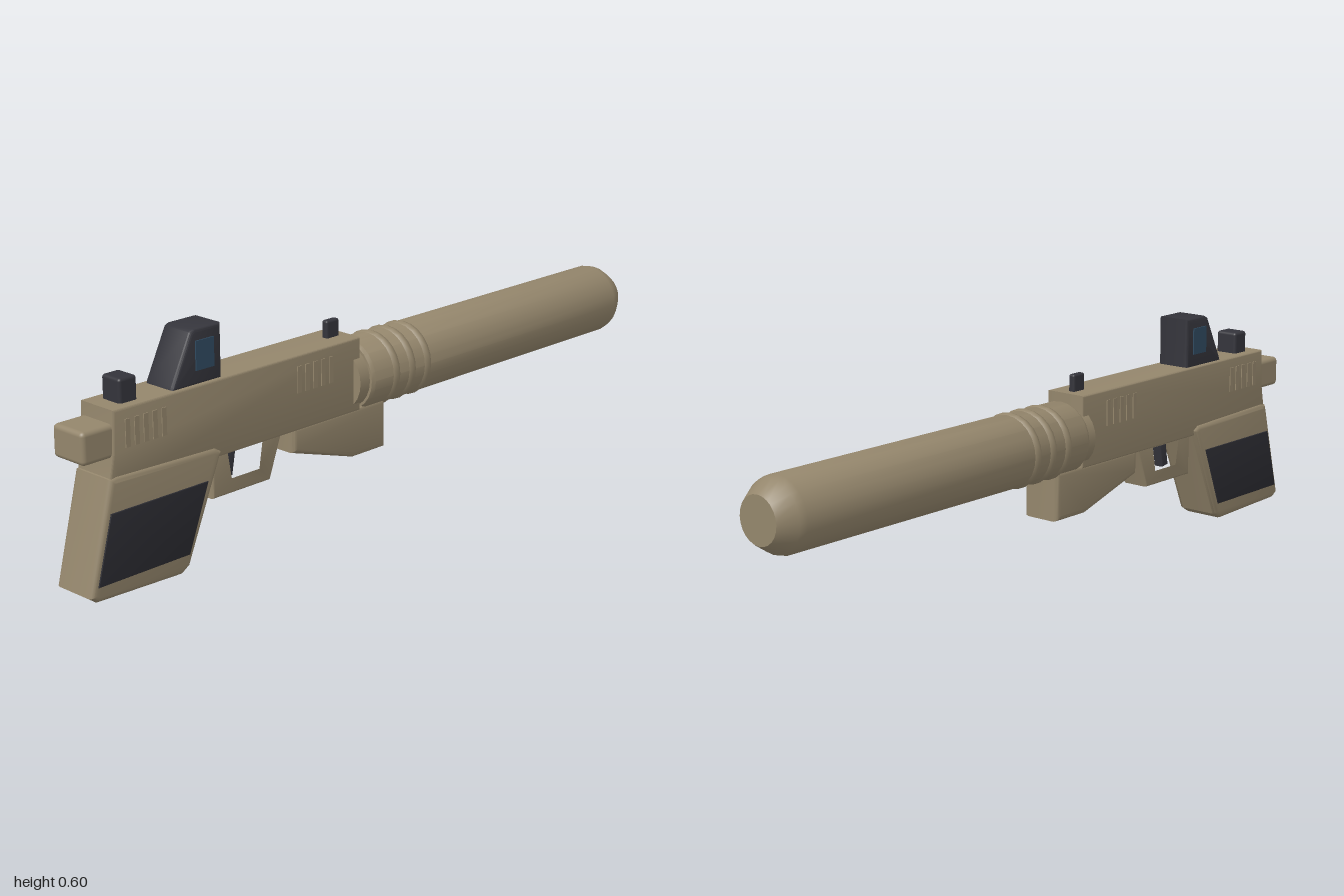
import * as THREE from 'three';
import { toCreasedNormals } from 'three/addons/utils/BufferGeometryUtils.js';
import { RoundedBoxGeometry } from 'three/addons/geometries/RoundedBoxGeometry.js';

const tan = new THREE.MeshStandardMaterial({ name: 'tan', color: 0x94866c });
const dark = new THREE.MeshStandardMaterial({ name: 'dark grey', color: 0x34343b });
const rubber = new THREE.MeshStandardMaterial({ name: 'grip black', color: 0x2b2b31 });
const glass = new THREE.MeshStandardMaterial({ name: 'blue glass', color: 0x2f4a60 });

// Side outline of [z, y] points, extruded across x and centred on x = 0
function profile(points, width, bevel, hole) {
  const toVectors = (list) => list.map(([z, y]) => new THREE.Vector2(z, y));
  const shape = new THREE.Shape(toVectors(points));
  if (hole) shape.holes.push(new THREE.Path(toVectors(hole)));
  const depth = width - 2 * bevel;
  const geometry = new THREE.ExtrudeGeometry(shape, {
    depth, bevelEnabled: bevel > 0, bevelSize: bevel, bevelThickness: bevel,
    bevelOffset: -bevel, bevelSegments: 3,
  });
  geometry.translate(0, 0, -depth / 2);
  geometry.rotateY(-Math.PI / 2);
  return toCreasedNormals(geometry, 0.6);
}

export function createModel() {
  const group = new THREE.Group();
  group.name = 'pistol';

  const add = (name, geometry, material, x = 0, y = 0, z = 0) => {
    const mesh = new THREE.Mesh(geometry, material);
    mesh.name = name;
    mesh.position.set(x, y, z);
    group.add(mesh);
    return mesh;
  };
  // Rounded box given by its width and its y and z ranges
  const block = (name, material, width, y0, y1, z0, z1, radius) =>
    add(name, new RoundedBoxGeometry(width, y1 - y0, z1 - z0, 3, radius), material,
      0, (y0 + y1) / 2, (z0 + z1) / 2);

  // Slide and frame
  add('slide', profile([[0.91, 0.467], [0.915, 0.36], [0.93, 0.28], [0.9, 0.27],
    [0.09, 0.27], [0.09, 0.467]], 0.12, 0.005), tan);
  block('hammer', tan, 0.11, 0.35, 0.433, 0.88, 1.0, 0.012);
  add('frontBlock', profile([[0.33, 0.28], [0.33, 0.21], [0.11, 0.143],
    [-0.01, 0.143], [-0.01, 0.28]], 0.115, 0.014), tan);

  // Raised serrations at both ends of the slide
  for (const start of [0.87, 0.31]) {
    for (let i = 0; i < 5; i++) {
      add('serration', new THREE.BoxGeometry(0.125, 0.07, 0.014), tan, 0, 0.404, start - i * 0.028);
    }
  }

  // Grip with a dark panel on each side
  add('grip', profile([[0.93, 0.303], [0.91, 0.307], [0.6, 0.298], [0.578, 0.285],
    [0.69, 0.018], [0.715, 0.002], [0.98, 0.01], [1.0, 0.024]], 0.134, 0.014), tan);
  const panel = profile([[0.935, 0.222], [0.63, 0.222], [0.695, 0.05], [0.98, 0.05]], 0.008, 0.002);
  for (const side of [-1, 1]) add('gripPanel', panel, rubber, side * 0.066, 0, 0);

  // Trigger and guard
  add('triggerGuard', profile(
    [[0.59, 0.28], [0.59, 0.155], [0.395, 0.155], [0.35, 0.28]], 0.08, 0.006,
    [[0.545, 0.268], [0.532, 0.188], [0.428, 0.188], [0.415, 0.268]]), tan);
  add('trigger', profile([[0.515, 0.255], [0.525, 0.192], [0.5, 0.188], [0.488, 0.255]], 0.03, 0.004), dark);

  // Silencer with three rings
  const outline = [[0, -1], [0.062, -1], [0.068, -0.992], [0.092, -0.955], [0.097, -0.935],
    [0.097, 0.07], [0.092, 0.08], [0, 0.08]].map(([r, z]) => new THREE.Vector2(r, z));
  const silencer = new THREE.LatheGeometry(outline, 24);
  silencer.rotateX(Math.PI / 2);
  add('silencer', toCreasedNormals(silencer, 0.5), tan, 0, 0.351, 0);
  for (let i = 0; i < 3; i++) {
    add('silencerRing', new THREE.TorusGeometry(0.08, 0.021, 10, 24), tan, 0, 0.351, -i * 0.06 - 0.01);
  }
  const barrel = new THREE.CylinderGeometry(0.085, 0.085, 0.06, 24);
  barrel.rotateX(Math.PI / 2);
  add('barrelCollar', barrel, tan, 0, 0.351, 0.085);

  // Sights
  block('rearSight', dark, 0.066, 0.455, 0.527, 0.813, 0.867, 0.008);
  block('frontSight', dark, 0.02, 0.455, 0.513, 0.115, 0.16, 0.006);
  add('opticHousing', profile([[0.72, 0.463], [0.717, 0.475], [0.657, 0.597], [0.645, 0.603],
    [0.56, 0.603], [0.56, 0.463]], 0.098, 0.008), dark);
  for (const side of [-1, 1]) {
    add('opticWindow', new THREE.BoxGeometry(0.008, 0.074, 0.058), glass, side * 0.0485, 0.538, 0.616);
  }

  return group;
}
